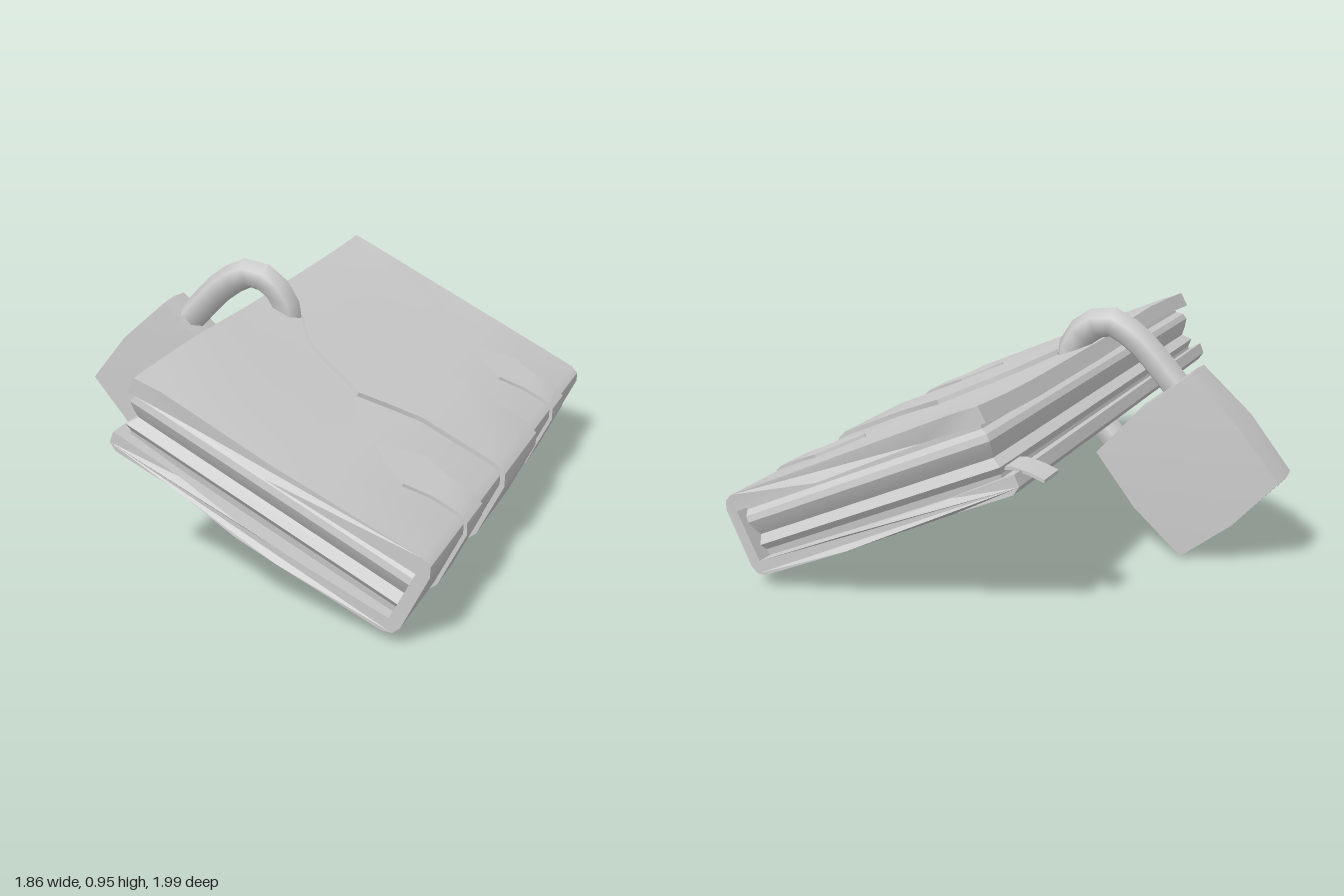
import * as THREE from 'three';
import { toCreasedNormals } from 'three/addons/utils/BufferGeometryUtils.js';

const material = new THREE.MeshStandardMaterial({ color: 0xcccccc });

function part(name, geometry, crease = 0.5) {
  const mesh = new THREE.Mesh(toCreasedNormals(geometry, crease), material);
  mesh.name = name;
  return mesh;
}

// Closed solid through rings of equal length, counter-clockwise about the direction of travel
function loft(rings) {
  const n = rings[0].length, index = [];
  for (let i = 0; i < rings.length - 1; i++) {
    for (let j = 0; j < n; j++) {
      const a = i * n + j, b = i * n + (j + 1) % n;
      index.push(a, b, b + n, a, b + n, a + n);
    }
  }
  const last = (rings.length - 1) * n;
  for (let j = 1; j < n - 1; j++) index.push(0, j + 1, j, last, last + j, last + j + 1);
  const g = new THREE.BufferGeometry();
  g.setAttribute('position', new THREE.Float32BufferAttribute(rings.flat(2), 3));
  g.setIndex(index);
  return g;
}

// Flat band along stations [x, y, normalX, normalY, halfWidth]
function ribbon(stations, thickness, z) {
  return loft(stations.map(([x, y, nx, ny, w]) => {
    const ox = x + nx * thickness, oy = y + ny * thickness;
    return [[x, y, z - w], [ox, oy, z - w], [ox, oy, z + w], [x, y, z + w]];
  }));
}

// Linear interpolation in a table of [key, value]
function lookup(table, k) {
  for (let i = 1; i < table.length; i++) {
    const [k0, v0] = table[i - 1], [k1, v1] = table[i];
    if (k <= k1) return THREE.MathUtils.lerp(v0, v1, THREE.MathUtils.clamp((k - k0) / (k1 - k0), 0, 1));
  }
  return table[table.length - 1][1];
}

// Cover: U-shaped section run along z, with worn, wavy ends
function coverGeometry() {
  const outline = [
    [-0.484, 0.61], [-0.48, 0.672], [-0.37, 0.677], [-0.2, 0.68], [0.08, 0.681], [0.25, 0.682],
    [0.655, 0.682], [0.69, 0.668], [0.705, 0.635], [0.705, 0.405], [0.69, 0.372], [0.655, 0.358],
    [0.25, 0.357], [0.08, 0.358], [-0.2, 0.36], [-0.45, 0.365], [-0.482, 0.385], [-0.484, 0.43],
    [-0.2, 0.415], [0.08, 0.413], [0.25, 0.413], [0.657, 0.415],
    [0.66, 0.618], [0.25, 0.622], [0.08, 0.622], [-0.2, 0.62], [-0.37, 0.615],
  ];
  const shape = new THREE.Shape(outline.map(p => new THREE.Vector2(...p)));
  const g = new THREE.ExtrudeGeometry(shape, { depth: 2, steps: 10, bevelEnabled: false });
  const front = [[-0.48, 0.995], [-0.2, 0.97], [0.08, 0.995], [0.7, 0.965]];
  const back = [[-0.48, -0.995], [-0.37, -0.99], [-0.2, -0.96], [0.25, -0.995], [0.7, -0.983]];
  const p = g.attributes.position;
  for (let i = 0; i < p.count; i++) {
    const x = p.getX(i), y = p.getY(i);
    const t = p.getZ(i) / 2;
    const loose = THREE.MathUtils.clamp((0.25 - x) / 0.73, 0, 1);
    const low = y < 0.5 ? loose : 0;
    const z = THREE.MathUtils.lerp(lookup(back, x) + low * 0.04, lookup(front, x) - low * 0.02, t);
    p.setZ(i, z);
    if (y > 0.5) p.setY(i, y + 0.018 * loose * Math.max(0, Math.sin((z - 0.15) * 3.6)));
    p.setX(i, x + 0.015 * loose * z);
  }
  return g;
}

// Pages: stacked rectangles with varying inset, giving ridged edges
function pagesGeometry() {
  const layers = [[0.405, 0.035], [0.44, 0.03], [0.465, 0.01], [0.5, 0.035], [0.53, 0.015],
    [0.56, 0.0], [0.585, 0.005], [0.605, 0.025], [0.63, 0.025]];
  return loft(layers.map(([y, d]) => {
    const x = -0.46 + d, z = 0.955 - d;
    return [[x, y, -z], [x, y, z], [0.665, y, z], [0.665, y, -z]];
  }));
}

// Strap: pointed leaf on each cover, joined around the spine
function strapGeometry(leaf, w, thickness, z) {
  const top = leaf.map(([x, hw]) => [x, 0.68, 0, 1, hw]);
  const bottom = leaf.map(([x, hw]) => [x, 0.36, 0, -1, hw]).reverse();
  const spine = [[0.655, 0.68, 0.1, 1, w], [0.69, 0.666, 0.7, 0.75, w], [0.705, 0.635, 1, 0.1, w],
    [0.705, 0.405, 1, -0.1, w], [0.69, 0.374, 0.7, -0.75, w], [0.655, 0.36, 0.1, -1, w]];
  return ribbon([...top, ...spine, ...bottom], thickness, z);
}

// Padlock body: block with softly bulging sides
function lockBodyGeometry() {
  const h = 0.26, d = 0.08;
  const g = new THREE.BoxGeometry(2 * h, 2 * h, 2 * d, 2, 2, 2);
  const p = g.attributes.position;
  for (let i = 0; i < p.count; i++) {
    const x = p.getX(i), y = p.getY(i), z = p.getZ(i);
    const mx = 1 - (x / h) ** 2, my = 1 - (y / h) ** 2, mz = 1 - (z / d) ** 2;
    p.setXYZ(i, x * (1 + 0.08 * my + 0.02 * mz), y * (1 + 0.08 * mx + 0.02 * mz),
      z * (1 + 0.08 * mx + 0.08 * my));
  }
  return g;
}

// Shackle: six-sided bar swept along a U
function shackleGeometry() {
  const path = new THREE.CatmullRomCurve3([
    [-0.55, 0.61], [-0.45, 0.72], [-0.335, 0.835], [-0.21, 0.9], [-0.1, 0.85],
    [-0.045, 0.74], [-0.08, 0.6], [-0.18, 0.49], [-0.3, 0.37],
  ].map(([x, y]) => new THREE.Vector3(x, y, -0.008)));
  const hex = new THREE.Shape();
  for (let i = 0; i < 6; i++) {
    const a = Math.PI / 2 + i * Math.PI / 3;
    hex[i ? 'lineTo' : 'moveTo'](Math.cos(a) * 0.06, Math.sin(a) * 0.06);
  }
  hex.closePath();
  return new THREE.ExtrudeGeometry(hex, { steps: 16, extrudePath: path, bevelEnabled: false });
}

export function createModel() {
  const model = new THREE.Group();
  model.name = 'lockedBook';

  // Book, leaning down towards its spine
  const book = new THREE.Group();
  book.name = 'book';
  book.rotation.z = -0.4276;
  book.add(part('cover', coverGeometry()), part('pages', pagesGeometry(), 0.3));

  const largeLeaf = [[-0.304, 0.003], [-0.187, 0.17], [-0.1, 0.22], [0.02, 0.265], [0.1, 0.312],
    [0.21, 0.265], [0.34, 0.215]];
  const smallLeaf = [[0.286, 0.003], [0.35, 0.065], [0.39, 0.085], [0.45, 0.12], [0.55, 0.085]];
  book.add(part('centreStrap', strapGeometry(largeLeaf, 0.215, 0.02, -0.013)));
  for (const [name, z] of [['frontStrap', 0.545], ['backStrap', -0.588]]) {
    book.add(part(name, strapGeometry(smallLeaf, 0.085, 0.014, z)));
  }
  model.add(book);

  // Bookmark sticking out of the fore edge
  const mark = [[-0.36, 0.563], [-0.3, 0.582], [-0.24, 0.592], [-0.1, 0.57]];
  model.add(part('bookmark', ribbon(mark.map(([x, y]) => [x, y, 0, 1, 0.055]), 0.012, -0.848)));

  // Padlock through both covers
  const padlock = new THREE.Group();
  padlock.name = 'padlock';
  const body = part('lockBody', lockBodyGeometry(), 0.3);
  body.position.set(-0.563, 0.381, -0.012);
  body.rotation.z = 0.81;
  padlock.add(body, part('shackle', shackleGeometry(), 1.1));
  model.add(padlock);
  return model;
}
